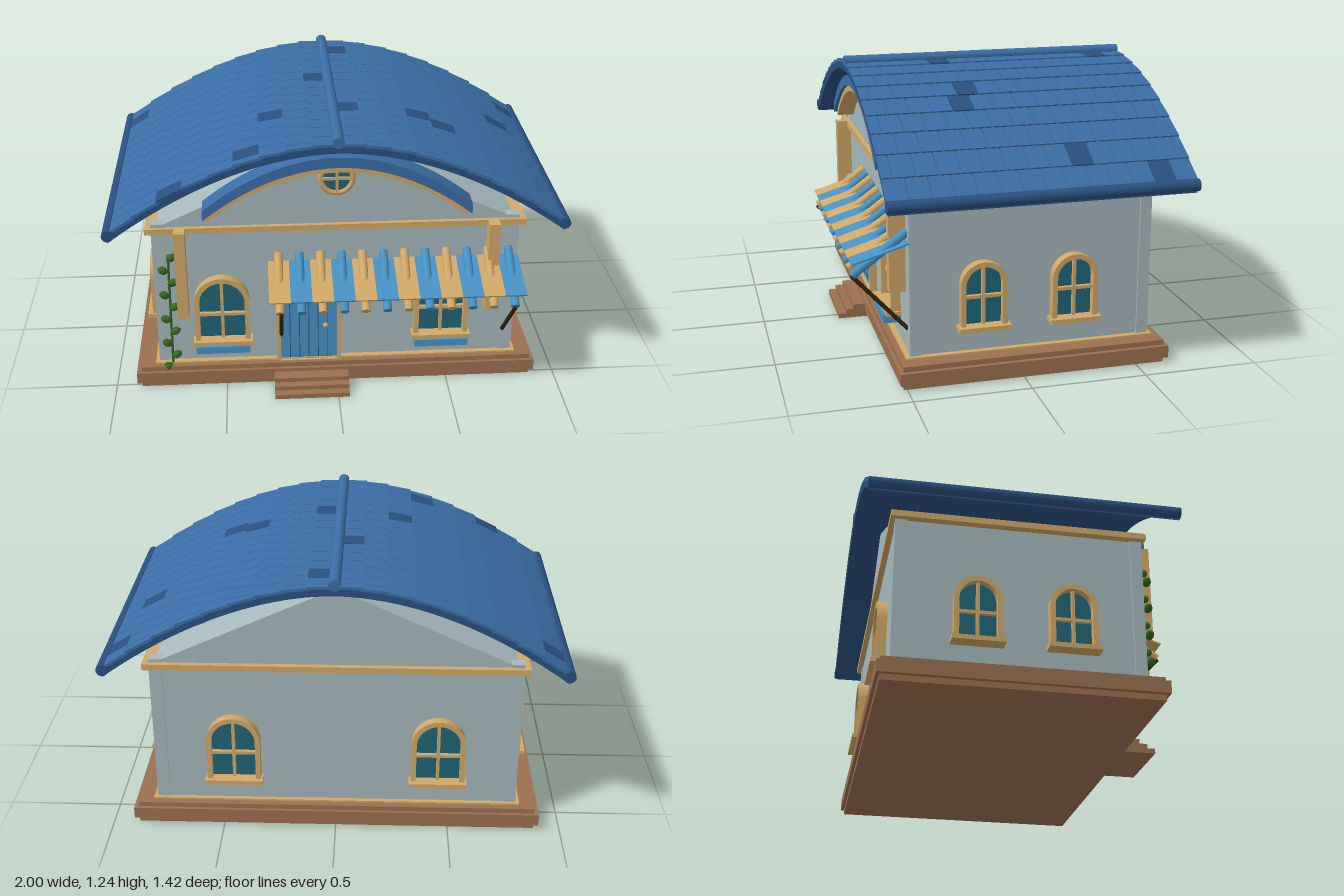
import * as THREE from 'three';
import { mergeGeometries } from 'three/addons/utils/BufferGeometryUtils.js';

const mat = (name, color) => {
  const m = new THREE.MeshStandardMaterial({ color });
  m.name = name;
  return m;
};

export function createModel() {
  const wall = mat('pale grey plaster', 0xa6b8bc), tan = mat('tan wood', 0xd0a868);
  const brown = mat('brown plinth', 0x9b7050), blue = mat('roof blue', 0x3b6da6);
  const dark = mat('dark roof blue', 0x2a5080), sky = mat('painted light blue', 0x4792c4);
  const glass = mat('teal glass', 0x1f6478), green = mat('leaf green', 0x35661f);
  const iron = mat('dark iron', 0x33250f);
  const house = new THREE.Group();
  house.name = 'house';

  const add = (name, geo, material, parent = house) => {
    const m = new THREE.Mesh(geo, material);
    m.name = name;
    parent.add(m);
    return m;
  };
  // Box given by its limits on each axis
  const box = (name, material, x0, x1, y0, y1, z0, z1, parent) => {
    const g = new THREE.BoxGeometry(x1 - x0, y1 - y0, z1 - z0);
    g.translate((x0 + x1) / 2, (y0 + y1) / 2, (z0 + z1) / 2);
    return add(name, g, material, parent);
  };
  // Round rod between two points
  const rod = (name, material, a, b, r, parent, sides = 12) => {
    const p = new THREE.Vector3(...a), q = new THREE.Vector3(...b);
    const m = add(name, new THREE.CylinderGeometry(r, r, p.distanceTo(q), sides), material, parent);
    m.position.copy(p).add(q).multiplyScalar(0.5);
    m.quaternion.setFromUnitVectors(new THREE.Vector3(0, 1, 0), q.sub(p).normalize());
    return m;
  };
  const extrude = (shape, depth, z = 0) => {
    const g = new THREE.ExtrudeGeometry(shape, { depth, bevelEnabled: false, curveSegments: 16 });
    return g.translate(0, 0, z);
  };
  const arch = (w, y0, yc, Type = THREE.Shape) => {
    const s = new Type();
    s.moveTo(-w, y0);
    s.lineTo(w, y0);
    s.lineTo(w, yc);
    s.absarc(0, yc, w, 0, Math.PI, false);
    s.lineTo(-w, y0);
    return s;
  };
  const archFrame = (wo, wi, y0, yc) => {
    const s = arch(wo, y0, yc);
    s.holes.push(arch(wi, y0 + 0.004, yc, THREE.Path));
    return s;
  };

  // Plinth and front steps
  box('plinth', brown, -0.885, 0.885, 0, 0.1, -0.625, 0.515);
  box('plinthMoulding', brown, -0.905, 0.905, 0.025, 0.078, -0.64, 0.53);
  box('baseTrim', tan, -0.82, 0.82, 0.1, 0.108, -0.595, 0.49);
  for (let i = 0; i < 3; i++)
    box('step', brown, -0.285, 0.05, i * 0.02, i * 0.02 + 0.022, 0.515, 0.655 - i * 0.035);

  // Walls, corner posts, eaves band and gable
  box('walls', wall, -0.795, 0.795, 0.1, 0.77, -0.575, 0.465);
  for (const x of [-0.775, 0.775]) for (const z of [-0.555, 0.445])
    box('cornerPost', wall, x - 0.028, x + 0.028, 0.1, 0.8, z - 0.025, z + 0.025);
  box('eavesBand', tan, -0.83, 0.83, 0.758, 0.785, -0.6, 0.485);
  const tri = new THREE.Shape();
  tri.moveTo(-0.79, 0.78);
  tri.lineTo(0.79, 0.78);
  tri.lineTo(0, 1.14);
  add('gable', extrude(tri, 1.04, -0.575), wall);
  for (const x of [-0.68, 0.685])
    box('hangingPost', tan, x - 0.024, x + 0.024, 0.36, 0.785, 0.465, 0.535);

  // Arched windows
  const makeWindow = (x, z, turn, w, yc, planter) => {
    const g = new THREE.Group();
    g.name = 'archedWindow';
    g.position.set(x, 0, z);
    g.rotation.y = turn;
    house.add(g);
    const wi = w - 0.022, y0 = 0.22;
    add('pane', extrude(arch(wi, y0, yc), 0.008), glass, g);
    add('frame', extrude(archFrame(w, wi, y0, yc), 0.042), tan, g);
    box('mullion', tan, -0.007, 0.007, y0, yc + wi, 0.004, 0.025, g);
    box('crossbar', tan, -wi, wi, 0.345, 0.359, 0.004, 0.025, g);
    box('sill', tan, -w - 0.01, w + 0.01, 0.21, 0.23, 0, 0.064, g);
    if (planter) box('planter', sky, -0.12, 0.12, 0.178, 0.212, 0, 0.075, g);
  };
  for (const x of [-0.51, 0.47]) makeWindow(x, 0.465, 0, 0.122, 0.42, true);
  for (const x of [-0.45, 0.45]) makeWindow(x, -0.575, Math.PI, 0.118, 0.415, false);
  for (const s of [-1, 1]) for (const z of [0.16, -0.235])
    makeWindow(s * 0.798, z, s * Math.PI / 2, 0.1, 0.406, false);

  // Round gable window
  const round = new THREE.Group();
  round.name = 'roundWindow';
  round.position.set(0, 1.0, 0.467);
  house.add(round);
  add('roundPane', new THREE.CylinderGeometry(0.07, 0.07, 0.008, 32).rotateX(Math.PI / 2), glass, round);
  add('roundFrame', new THREE.TorusGeometry(0.069, 0.013, 10, 32), tan, round);
  box('mullion', tan, -0.006, 0.006, -0.065, 0.065, 0, 0.012, round);
  box('crossbar', tan, -0.065, 0.065, -0.006, 0.006, 0, 0.012, round);

  // Door
  const door = new THREE.Group();
  door.name = 'door';
  door.position.set(-0.125, 0, 0.465);
  house.add(door);
  add('doorLeaf', extrude(arch(0.127, 0.1, 0.375), 0.02), sky, door);
  add('doorFrame', extrude(archFrame(0.145, 0.127, 0.1, 0.375), 0.035), tan, door);
  for (const x of [-0.085, -0.042, 0, 0.042, 0.085])
    box('plankSeam', dark, x - 0.002, x + 0.002, 0.1, 0.375 + Math.sqrt(0.127 ** 2 - x * x), 0.015, 0.021, door);
  add('knob', new THREE.SphereGeometry(0.012, 12, 8), tan, door).position.set(0.075, 0.28, 0.03);

  // Curved roof sheet
  const roofY = x => 1.2 - 0.405 * Math.abs(x) ** 1.87;
  const band = (half, top, bottom, n = 40) => {
    const s = new THREE.Shape();
    for (let i = 0; i <= n; i++) {
      const x = -half + 2 * half * i / n;
      i ? s.lineTo(x, bottom(x)) : s.moveTo(x, bottom(x));
    }
    for (let i = n; i >= 0; i--) {
      const x = -half + 2 * half * i / n;
      s.lineTo(x, top(x));
    }
    return s;
  };
  add('roofSheet', extrude(band(0.975, x => roofY(x) - 0.004, x => roofY(x) - 0.035), 1.29, -0.705), dark);

  // Shingles in staggered rows, a few of them dark: [side, row, z]
  const darkTiles = [[-1, 0, -0.56], [-1, 8, -0.2], [-1, 6, 0.165], [-1, 5, 0.51], [-1, 2, 0.52], [1, 8, -0.56],
    [1, 0, -0.56], [1, 1, -0.21], [1, 5, 0.15], [1, 4, 0.165], [1, 8, 0.165]];
  const tiles = { plain: [], dark: [] }, rows = 9, step = 0.97 / rows, pitch = 1.3 / 14;
  for (const side of [-1, 1]) for (let r = 0; r < rows; r++) for (let c = 0; c < 15; c++) {
    const start = -0.71 + (c - (r % 2 ? 0.5 : 0)) * pitch;
    const a = Math.max(start, -0.71), b = Math.min(start + pitch, 0.59);
    if (b - a < 0.01) continue;
    const x = 0.97 - (r + 0.5) * step, slope = Math.atan(-0.757 * x ** 0.87);
    const g = new THREE.BoxGeometry(step / Math.cos(slope) + 0.008, 0.012, b - a - 0.004);
    g.rotateZ(side * (slope + 0.05));
    g.translate(side * x, roofY(x) + 0.002, (a + b) / 2);
    const isDark = darkTiles.some(([s, row, z]) => s === side && row === r && z >= a && z < b);
    tiles[isDark ? 'dark' : 'plain'].push(g);
  }
  add('shingles', mergeGeometries(tiles.plain), blue);
  add('darkShingles', mergeGeometries(tiles.dark), dark);
  rod('ridge', blue, [0, 1.212, -0.71], [0, 1.212, 0.59], 0.025, house, 16);
  for (const s of [-1, 1])
    rod('eaveRoll', dark, [s * 0.973, 0.812, -0.71], [s * 0.973, 0.812, 0.59], 0.026, house, 16);

  // Arched hood over the gable window
  const hood = x => 1.09 - 0.7 * x * x;
  add('hoodTrim', extrude(band(0.56, hood, x => hood(x) - 0.03), 0.085, 0.46), tan);
  add('hoodRoof', extrude(band(0.575, x => hood(x) + 0.045, x => hood(x) - 0.002), 0.1, 0.46), blue);

  // Chimney
  box('chimney', wall, 0.53, 0.64, 0.8, 0.98, -0.35, -0.23);
  box('chimneyCap', tan, 0.475, 0.665, 0.97, 1.0, -0.385, -0.2);
  box('chimneyFoot', brown, 0.515, 0.645, 0.86, 0.88, -0.365, -0.215);

  // Striped awning with rolled poles and iron stays
  for (let i = 0; i < 12; i++) {
    const x = -0.256 + i * 0.0923, m = i % 2 ? sky : tan;
    const sheet = add('awningStripe', new THREE.BoxGeometry(0.0923, 0.007, 0.25), m);
    sheet.position.set(x, 0.565, 0.586);
    sheet.rotation.x = 0.29;
    rod('awningPole', m, [x, 0.64, 0.468], [x, 0.472, 0.698], 0.019);
  }
  for (const x of [-0.25, 0.76]) rod('awningStay', iron, [x, 0.47, 0.7], [x, 0.217, 0.47], 0.009);

  // Climbing vine
  rod('vineStem', green, [-0.742, 0.09, 0.485], [-0.735, 0.66, 0.485], 0.006, house, 6);
  for (let i = 0; i < 10; i++) {
    const s = i % 2 ? 1 : -1;
    const leaf = add('vineLeaf', new THREE.SphereGeometry(0.024, 8, 6), green);
    leaf.scale.set(1, 0.7, 0.8);
    leaf.position.set(-0.74 + s * 0.02, 0.095 + i * 0.062, 0.5);
    leaf.rotation.z = s * 0.5;
  }
  return house;
}
